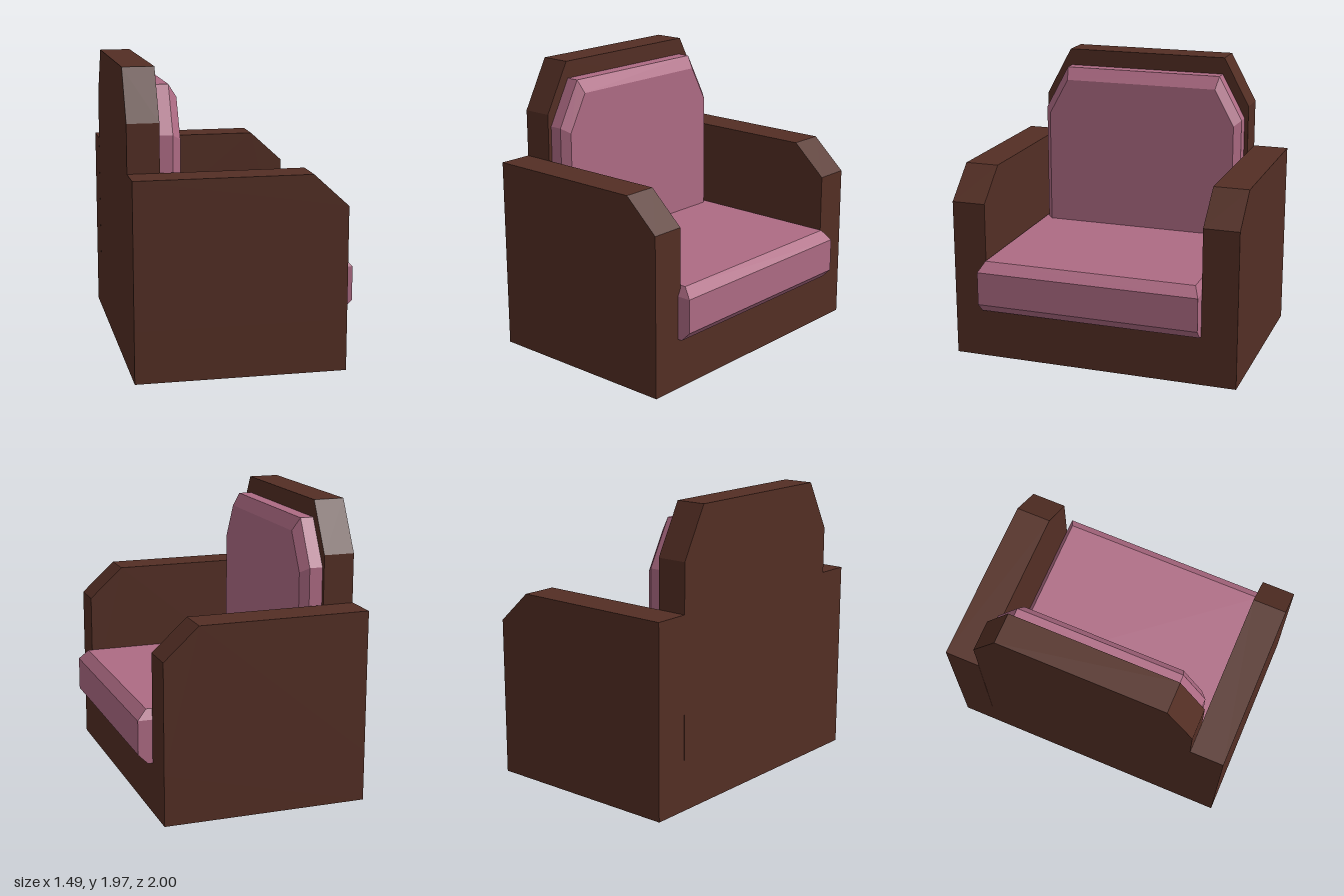
import * as THREE from 'three';
import { ConvexGeometry } from 'three/addons/geometries/ConvexGeometry.js';

export function createModel() {
  const chair = new THREE.Group();
  chair.name = 'armchair';

  const wood = new THREE.MeshStandardMaterial({ color: 0x532e24 });
  wood.name = 'dark brown';
  const fabric = new THREE.MeshStandardMaterial({ color: 0xae6b84 });
  fabric.name = 'dusty pink';

  // Every part is a faceted convex solid spanned by its corner points.
  const addSolid = (name, material, corners) => {
    const points = corners.map(([x, y, z]) => new THREE.Vector3(x, y, z));
    const mesh = new THREE.Mesh(new ConvexGeometry(points), material);
    mesh.name = name;
    chair.add(mesh);
  };
  // Cross-sections: [y, z] outline at a given x, or [x, y] outline at a given z.
  const sectionX = (x, outline) => outline.map(([y, z]) => [x, y, z]);
  const sectionZ = (z, outline) => outline.map(([x, y]) => [x, y, z]);

  const back = -0.745, front = 0.645, panel = -0.535, baseTop = 0.345;

  // Base plinth
  const plinth = [[back, 0], [front, 0], [front, baseTop], [back, baseTop]];
  addSolid('base', wood, [...sectionZ(-1, plinth), ...sectionZ(1, plinth)]);

  // Arms with a sloped front corner
  const addArm = (name, inner, outer, top) => {
    const side = [[back, baseTop], [front, baseTop], [front, top - 0.215], [0.41, top], [back, top]];
    addSolid(name, wood, [...sectionZ(inner, side), ...sectionZ(outer, side)]);
  };
  addArm('leftArm', -0.757, -1, 1.298);
  addArm('rightArm', 0.766, 1, 1.31);

  // Backrest outline with cut shoulders, shared by the panel and its cushion
  const centre = 0.006;
  const shouldered = (half, topHalf, bottom, shoulder, top) => [
    [bottom, centre - half], [shoulder, centre - half], [top, centre - topHalf],
    [top, centre + topHalf], [shoulder, centre + half], [bottom, centre + half],
  ];
  const panelOutline = shouldered(0.761, 0.579, baseTop, 1.63, 1.967);
  addSolid('backPanel', wood, [...sectionX(back, panelOutline), ...sectionX(panel, panelOutline)]);

  // Back cushion with a bevelled front
  const cushionOutline = shouldered(0.734, 0.568, 0.7, 1.545, 1.85);
  const cushionFace = shouldered(0.69, 0.551, 0.7, 1.511, 1.765);
  addSolid('backCushion', fabric, [
    ...sectionX(panel, cushionOutline),
    ...sectionX(-0.445, cushionOutline),
    ...sectionX(-0.39, cushionFace),
  ]);

  // Seat cushion, bevelled along the top sides and the front
  const z0 = -0.757, z1 = 0.79, inset = 0.034;
  const seatOutline = [
    [baseTop, z0], [0.64, z0], [0.705, z0 + inset],
    [0.705, z1 - inset], [0.64, z1], [baseTop, z1],
  ];
  const seatFace = [[0.41, z0], [0.64, z0], [0.64, z1], [0.41, z1]];
  addSolid('seatCushion', fabric, [
    ...sectionX(panel, seatOutline),
    ...sectionX(0.677, seatOutline),
    ...sectionX(0.742, seatFace),
  ]);

  return chair;
}
